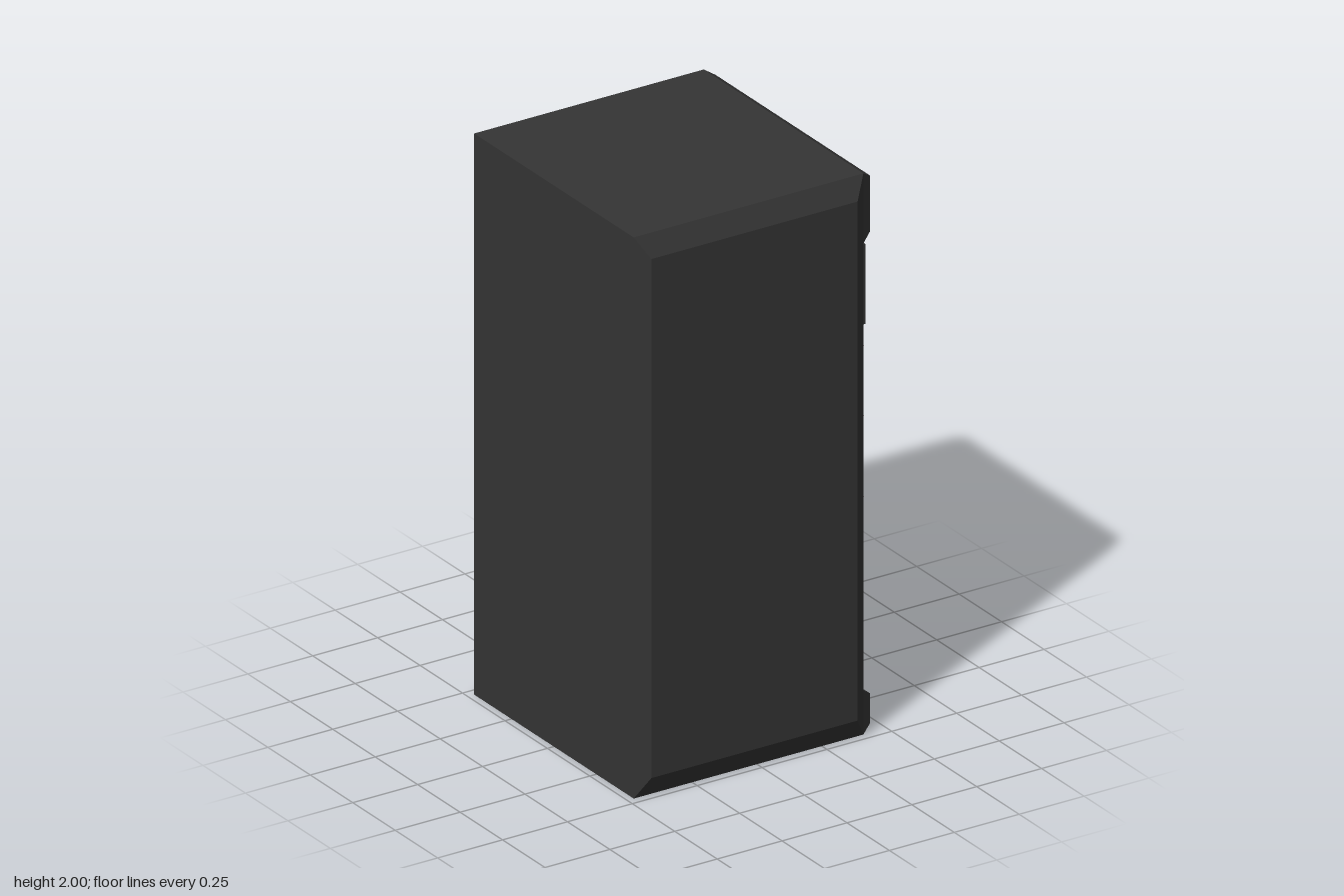
import * as THREE from 'three';

const mat = (name, color) => {
  const m = new THREE.MeshStandardMaterial({ color });
  m.name = name;
  return m;
};

// Solid from matching counter-clockwise x/y outlines at falling z (first is the front)
function loft(sections) {
  const out = [];
  const put = (p, z) => out.push(p[0], p[1], z);
  for (let s = 0; s < sections.length - 1; s++) {
    const a = sections[s], b = sections[s + 1], n = a.pts.length;
    for (let i = 0; i < n; i++) {
      const j = (i + 1) % n;
      put(a.pts[i], a.z); put(b.pts[i], b.z); put(b.pts[j], b.z);
      put(a.pts[i], a.z); put(b.pts[j], b.z); put(a.pts[j], a.z);
    }
  }
  const cap = ({ pts, z }, flip) => {
    const outline = pts.map(p => new THREE.Vector2(p[0], p[1]));
    for (const t of THREE.ShapeUtils.triangulateShape(outline, [])) {
      for (const k of flip ? [t[0], t[2], t[1]] : t) put(pts[k], z);
    }
  };
  cap(sections[0], false);
  cap(sections[sections.length - 1], true);
  const g = new THREE.BufferGeometry();
  g.setAttribute('position', new THREE.Float32BufferAttribute(out, 3));
  g.computeVertexNormals();
  return g;
}

export function createModel() {
  const group = new THREE.Group();
  const dark = mat('charcoal', 0x353535);
  const red = mat('dull red', 0x5e3b41);
  const blue = mat('screen blue', 0x384cba);

  const add = (name, geometry, material, parent = group) => {
    const m = new THREE.Mesh(geometry, material);
    m.name = name;
    parent.add(m);
    return m;
  };
  const box = (name, x0, x1, y0, y1, z0, z1, material, parent) => {
    const m = add(name, new THREE.BoxGeometry(x1 - x0, y1 - y0, z1 - z0), material, parent);
    m.position.set((x0 + x1) / 2, (y0 + y1) / 2, (z0 + z1) / 2);
    return m;
  };

  // Front half of the cabinet, with a bevelled front
  const full = [[-0.475, 0], [0.41, 0], [0.41, 2], [-0.475, 2]];
  const fullInset = [[-0.43, 0.075], [0.365, 0.075], [0.365, 1.925], [-0.43, 1.925]];
  add('frontCabinet', loft([
    { pts: fullInset, z: 0.505 }, { pts: full, z: 0.47 }, { pts: full, z: 0.005 },
  ]), dark);

  // Back half, with the recessed bay and a bevelled back
  const bay = [[-0.475, 0], [0.41, 0], [0.41, 0.15], [0.27, 0.445],
    [0.27, 1.46], [0.41, 1.755], [0.41, 2], [-0.475, 2]];
  const bayInset = [[-0.43, 0.075], [0.365, 0.075], [0.365, 0.14], [0.225, 0.435],
    [0.225, 1.47], [0.365, 1.765], [0.365, 1.925], [-0.43, 1.925]];
  add('backCabinet', loft([
    { pts: bay, z: 0.005 }, { pts: bay, z: -0.47 }, { pts: bayInset, z: -0.505 },
  ]), dark);

  // Bevelled lips at the top and bottom of the control side
  for (const [name, y0, y1, o0, o1] of [
    ['topLip', 1.75, 2, 1.778, 1.978], ['bottomLip', 0, 0.157, 0.025, 0.132]]) {
    const g = new THREE.BoxGeometry(1, 1, 1).toNonIndexed();
    const p = g.attributes.position;
    for (let i = 0; i < p.count; i++) {
      const outer = p.getX(i) > 0, up = p.getY(i) > 0;
      p.setXYZ(i, outer ? 0.445 : 0.41,
        outer ? (up ? o1 : o0) : (up ? y1 : y0),
        Math.sign(p.getZ(i)) * (outer ? 0.455 : 0.47));
    }
    g.computeVertexNormals();
    add(name, g, dark);
  }

  // Display
  box('screenFrame', 0.40, 0.42, 1.46, 1.745, 0.005, 0.467, dark);
  box('screen', 0.419, 0.423, 1.478, 1.73, 0.012, 0.46, blue);

  // Rocker switches
  const rocker = loft([0.0325, -0.0325].map(z => ({
    z, pts: [[0.42, -0.065], [0.45, -0.065], [0.45, 0], [0.474, 0.065], [0.42, 0.065]],
  })));
  for (const y of [1.27, 1.02, 0.73]) {
    for (const z of [0.343, 0.133]) {
      const sw = new THREE.Group();
      sw.name = 'rockerSwitch';
      sw.position.set(0, y, z);
      group.add(sw);
      box('switchHousing', 0.40, 0.43, -0.08, 0.08, -0.042, 0.042, dark, sw);
      add('rocker', rocker, red, sw);
    }
  }

  // Connectors in the bay, each with two tongues
  for (const y of [1.207, 0.702]) {
    const c = new THREE.Group();
    c.name = 'connector';
    c.position.set(0, y, -0.2325);
    group.add(c);
    box('connectorBase', 0.26, 0.335, -0.027, 0.027, -0.102, 0.102, dark, c);
    for (const s of [-1, 1]) {
      box('connectorTongue', 0.33, 0.375, -0.011, 0.011, s * 0.05 - 0.038, s * 0.05 + 0.038, dark, c);
    }
  }
  return group;
}
